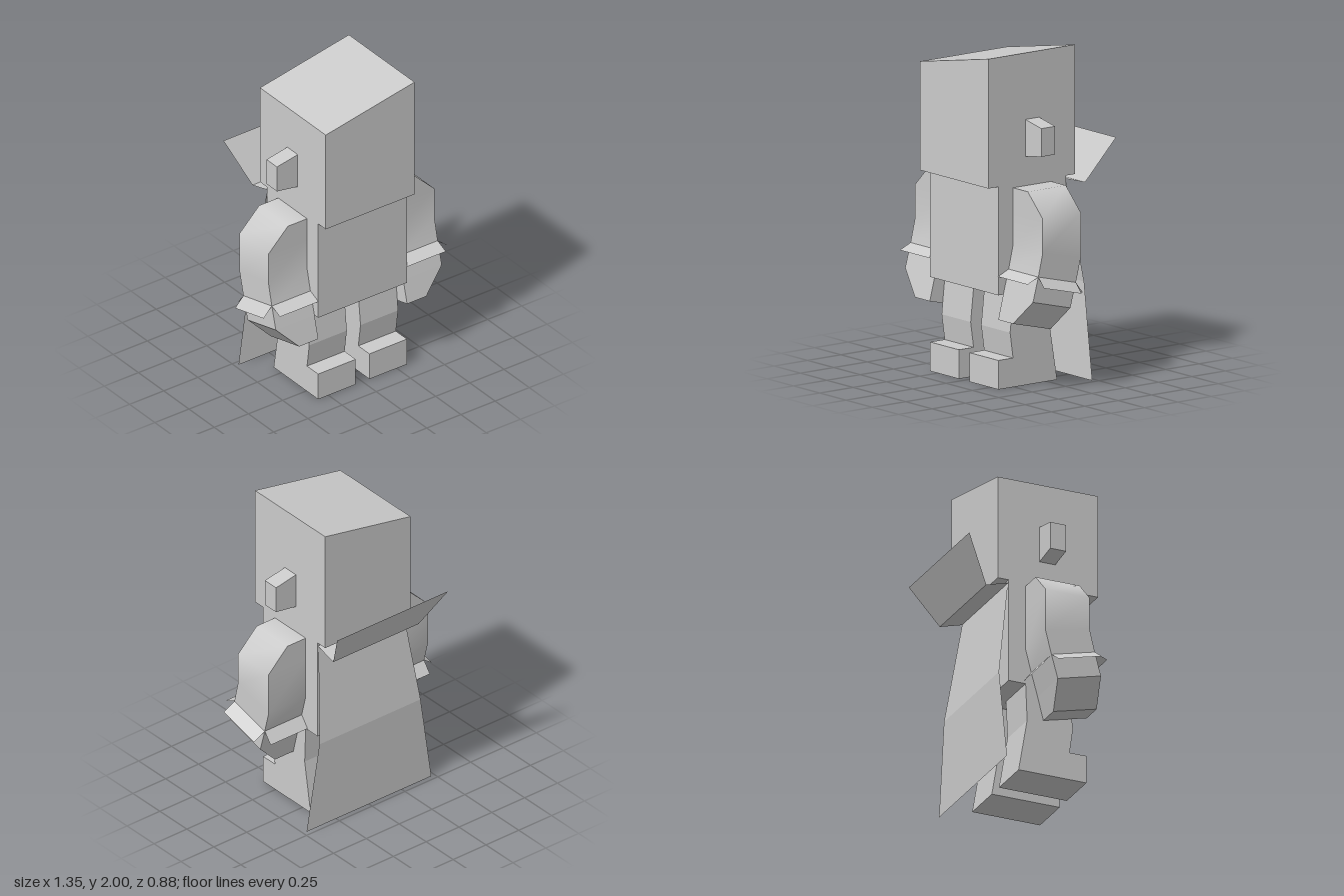
import * as THREE from 'three';
import { toCreasedNormals } from 'three/addons/utils/BufferGeometryUtils.js';

const solid = new THREE.MeshStandardMaterial({ color: 0xcccccc });
const sheet = new THREE.MeshStandardMaterial({ color: 0xcccccc, side: THREE.DoubleSide });

function add(parent, name, geometry, material = solid) {
  const mesh = new THREE.Mesh(geometry, material);
  mesh.name = name;
  parent.add(mesh);
  return mesh;
}

// Faceted geometry from a list of four-cornered faces
function quads(faces) {
  const pos = [];
  for (const [a, b, c, d] of faces) pos.push(...a, ...b, ...c, ...a, ...c, ...d);
  const g = new THREE.BufferGeometry();
  g.setAttribute('position', new THREE.Float32BufferAttribute(pos, 3));
  g.computeVertexNormals();
  return g;
}

// Closed solid through four-cornered rings, mirrored in x when side is -1
function loft(rings, side = 1) {
  const r = rings.map(ring => {
    const pts = ring.map(([x, y, z]) => [x * side, y, z]);
    return side < 0 ? pts.reverse() : pts;
  });
  const faces = [[...r[0]].reverse(), r[r.length - 1]];
  for (let k = 0; k + 1 < r.length; k++) {
    for (let i = 0; i < 4; i++) {
      const j = (i + 1) % 4;
      faces.push([r[k][i], r[k][j], r[k + 1][j], r[k + 1][i]]);
    }
  }
  return quads(faces);
}

// Thin sheet through rows of [half width, y, z]
function strip(rows) {
  const faces = [];
  for (let k = 0; k + 1 < rows.length; k++) {
    const [w0, y0, z0] = rows[k], [w1, y1, z1] = rows[k + 1];
    faces.push([[w0, y0, z0], [-w0, y0, z0], [-w1, y1, z1], [w1, y1, z1]]);
  }
  return quads(faces);
}

// Arm cross-section: outer x, back edge and front edge
const IN = 0.325, OUT = 0.607;
const armRing = (out, yb, zb, yf, zf) =>
  [[IN, yb, zb], [out, yb, zb], [out, yf, zf], [IN, yf, zf]];

function makeArm(side) {
  const arm = new THREE.Group();
  arm.name = side > 0 ? 'leftArm' : 'rightArm';
  const wrist = armRing(OUT, 0.645, 0.007, 0.715, 0.288);
  add(arm, 'sleeve', toCreasedNormals(loft([
    armRing(0.465, 1.2, -0.03, 1.2, 0.255),
    armRing(OUT, 1.06, -0.03, 1.06, 0.255),
    armRing(OUT, 0.79, -0.03, 0.855, 0.255),
    wrist,
  ], side), 0.9));
  add(arm, 'hand', loft([
    wrist,
    armRing(OUT, 0.497, 0.048, 0.568, 0.328),
    armRing(0.465, 0.35, 0.085, 0.42, 0.366),
  ], side));

  // Cuff flaps flare out and down from the wrist
  const [inBack, outBack, outFront, inFront] = wrist;
  const flaps = [
    ['frontCuff', inFront, outFront, [0, -0.035, 0.08]],
    ['sideCuff', outFront, outBack, [0.07, -0.054, 0.013]],
    ['backCuff', outBack, inBack, [0, -0.07, -0.054]],
  ];
  for (const [name, a, b, d] of flaps) {
    const corners = [a, b, b.map((v, i) => v + d[i]), a.map((v, i) => v + d[i])]
      .map(([x, y, z]) => [x * side, y, z]);
    add(arm, name, quads([side > 0 ? corners.reverse() : corners]), sheet);
  }
  return arm;
}

// Leg and foot side profile in [z, y], extruded across x
function makeLeg(side) {
  const profile = [[-0.075, 0], [0.365, 0], [0.365, 0.175], [0.255, 0.175],
    [0.277, 0.33], [0.25, 0.58], [-0.03, 0.58], [-0.02, 0.33]];
  const shape = new THREE.Shape(profile.map(p => new THREE.Vector2(...p)));
  const g = new THREE.ExtrudeGeometry(shape, { depth: 0.275, bevelEnabled: false });
  g.rotateY(-Math.PI / 2);
  g.translate(side > 0 ? 0.325 : -0.05, 0, 0);
  return g;
}

export function createModel() {
  const model = new THREE.Group();
  model.name = 'blockFigure';

  // Head with a top that slopes down to the right
  const head = new THREE.BoxGeometry(0.65, 0.78, 0.65).translate(0, 1.61, 0.115);
  const p = head.attributes.position;
  for (let i = 0; i < p.count; i++) {
    if (p.getY(i) > 1.5 && p.getX(i) < 0) p.setY(i, 1.875);
  }
  const headGeo = head.toNonIndexed();
  headGeo.computeVertexNormals();
  add(model, 'head', headGeo);

  add(model, 'torso', new THREE.BoxGeometry(0.65, 0.655, 0.505).translate(0, 0.8945, 0.1125));

  const earRing = (x, y0, y1) =>
    [[x, y0, 0.06], [x, y1, 0.06], [x, y1, 0.163], [x, y0, 0.163]];
  for (const side of [1, -1]) {
    const label = side > 0 ? 'left' : 'right';
    add(model, label + 'Ear', loft([earRing(0.32, 1.375, 1.6), earRing(0.477, 1.4, 1.57)], side));
    add(model, label + 'Leg', makeLeg(side));
    model.add(makeArm(side));
  }

  // Cape with a fold at the hips, and a collar leaning back from the shoulders
  add(model, 'cape', strip([[0.32, 1.2, -0.142], [0.385, 0.58, -0.23], [0.475, 0, -0.22]]), sheet);
  add(model, 'collar', strip([[0.325, 1.2, -0.142], [0.325, 1.16, -0.285], [0.423, 1.427, -0.44]]), sheet);
  return model;
}
